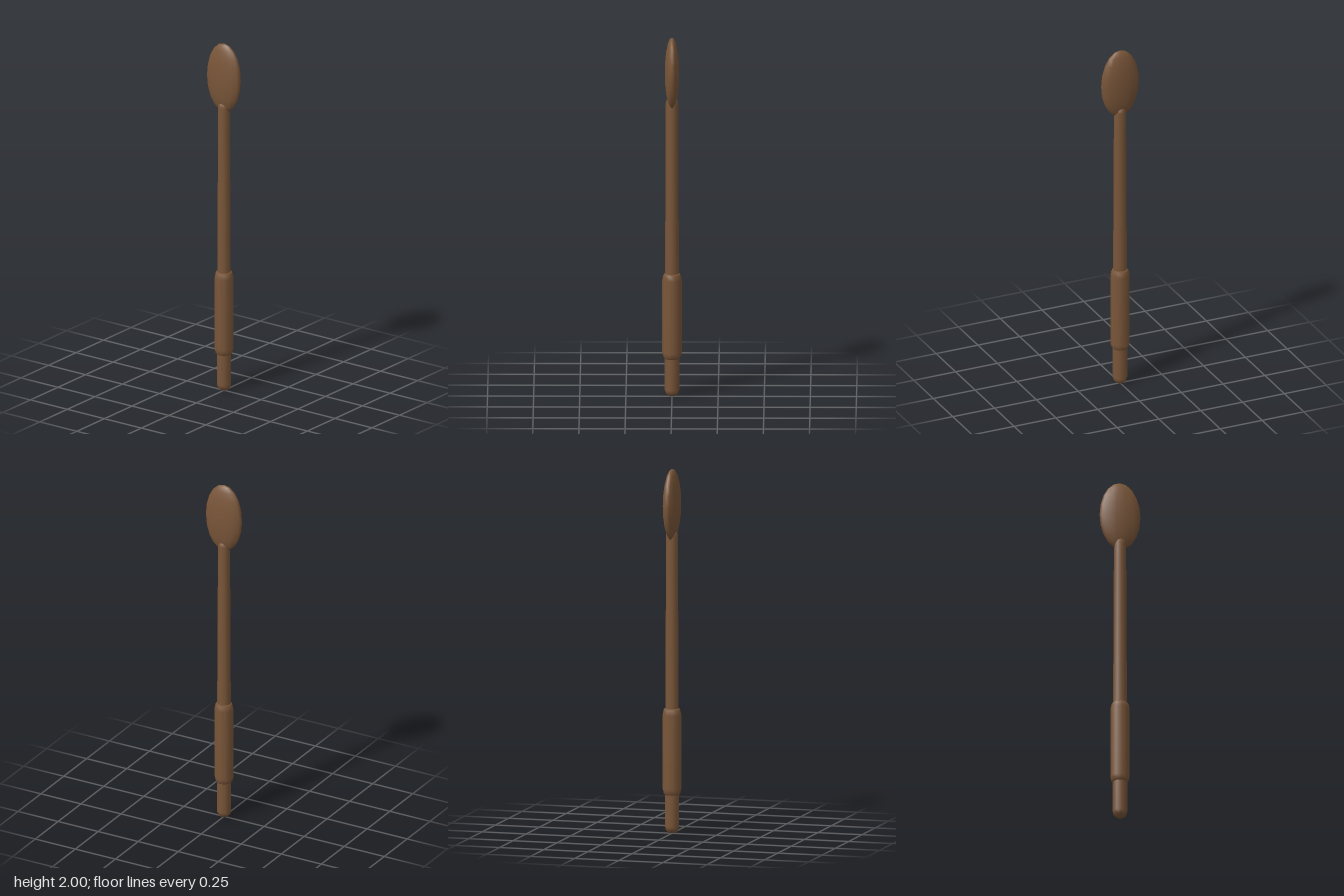
import * as THREE from 'three';

const SIDES = 10;
const wood = new THREE.MeshStandardMaterial({ color: 0x7a5639, roughness: 0.8 });

// Turned part from [radius, height] pairs, bottom to top
function turned(name, profile) {
  const points = profile.map(([r, y]) => new THREE.Vector2(r, y));
  const mesh = new THREE.Mesh(new THREE.LatheGeometry(points, SIDES), wood);
  mesh.name = name;
  return mesh;
}

export function createModel() {
  const group = new THREE.Group();
  group.name = 'paddle';

  // Slightly tapered shaft with a rounded butt and a domed top inside the blade
  group.add(turned('shaft', [
    [0, 0], [0.02, 0.005], [0.034, 0.017], [0.04, 0.038],
    [0.04, 0.22], [0.038, 0.68], [0.036, 1.1], [0.034, 1.5], [0.034, 1.635],
    [0.029, 1.655], [0.017, 1.669], [0, 1.674],
  ]));

  // Thicker sleeve with bevelled ends
  group.add(turned('grip', [
    [0, 0.212], [0.04, 0.212], [0.047, 0.22], [0.053, 0.245],
    [0.053, 0.65], [0.047, 0.678], [0.04, 0.686], [0, 0.686],
  ]));

  // Flattened oval blade
  const blade = new THREE.Mesh(new THREE.SphereGeometry(1, 14, 10), wood);
  blade.name = 'blade';
  blade.scale.set(0.113, 0.197, 0.04);
  blade.position.y = 1.803;
  group.add(blade);

  return group;
}
